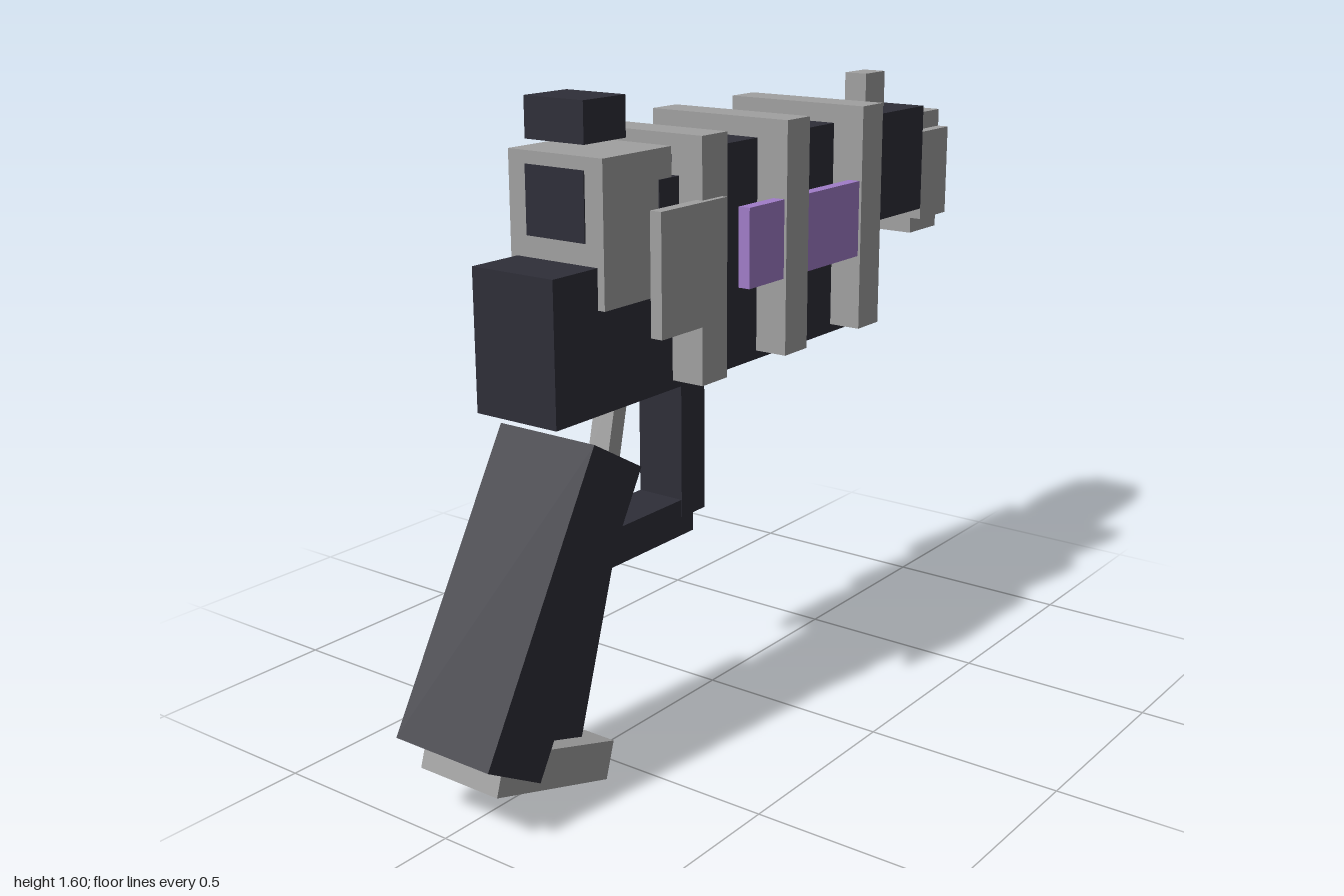
import * as THREE from 'three';

const mat = (name, color) => {
  const m = new THREE.MeshStandardMaterial({ color });
  m.name = name;
  return m;
};

export function createModel() {
  const group = new THREE.Group();
  const dark = mat('dark metal', 0x2e2e38);
  const grey = mat('light metal', 0xa0a0a0);
  const purple = mat('purple cell', 0xa07cc8);

  // box from x and y ranges, with a z range
  const box = (name, material, x0, x1, y0, y1, z0, z1) => {
    const mesh = new THREE.Mesh(new THREE.BoxGeometry(x1 - x0, y1 - y0, z1 - z0), material);
    mesh.position.set((x0 + x1) / 2, (y0 + y1) / 2, (z0 + z1) / 2);
    mesh.name = name;
    group.add(mesh);
    return mesh;
  };
  // box centred on z = 0
  const mid = (name, material, x0, x1, y0, y1, hz) => box(name, material, x0, x1, y0, y1, -hz, hz);
  // box leaning in the side plane
  const lean = (name, material, cx, cy, w, h, hz, degrees) => {
    const mesh = mid(name, material, cx - w / 2, cx + w / 2, cy - h / 2, cy + h / 2, hz);
    mesh.rotation.z = THREE.MathUtils.degToRad(degrees);
  };

  // receiver and barrel
  mid('lowerBody', dark, -0.727, 0.58, 0.905, 1.24, 0.117);
  mid('upperBody', dark, -0.4, 0.825, 1.17, 1.457, 0.117);
  mid('bodyInsert', dark, -0.387, -0.195, 1.22, 1.41, 0.138);

  // muzzle
  mid('muzzleWide', grey, 0.825, 0.967, 1.14, 1.385, 0.117);
  mid('muzzleTall', grey, 0.827, 0.969, 1.097, 1.432, 0.085);
  mid('muzzleTip', dark, 0.96, 1.0, 1.192, 1.337, 0.05);

  // bands round the body
  for (const x of [-0.267, 0.073, 0.414]) {
    mid('band', grey, x - 0.048, x + 0.048, 0.927, 1.505, 0.204);
  }

  // plates standing off both sides
  for (const s of [-1, 1]) {
    const side = (name, m, x0, x1, y0, y1, a, b) =>
      box(name, m, x0, x1, y0, y1, Math.min(s * a, s * b), Math.max(s * a, s * b));
    side('energyCell', purple, -0.12, 0.38, 1.12, 1.315, 0.165, 0.197);
    side('sidePlate', grey, -0.483, -0.24, 1.073, 1.36, 0.187, 0.218);
  }

  // rear block and sights
  mid('rearBlock', grey, -0.58, -0.34, 1.145, 1.48, 0.136);
  mid('rearPanel', dark, -0.583, -0.577, 1.29, 1.45, 0.085);
  mid('rearSight', dark, -0.58, -0.437, 1.505, 1.6, 0.085);
  mid('frontSight', grey, 0.655, 0.752, 1.45, 1.553, 0.033);

  // trigger and guard
  lean('trigger', grey, -0.41, 0.84, 0.045, 0.21, 0.03, -13);
  mid('guardFront', dark, -0.215, -0.122, 0.545, 0.91, 0.065);
  mid('guardBottom', dark, -0.56, -0.168, 0.498, 0.59, 0.064);

  // grip
  lean('gripBack', dark, -0.7325, 0.484, 0.19, 0.744, 0.14, -30);
  lean('gripFront', dark, -0.628, 0.451, 0.19, 0.62, 0.085, -17.4);
  lean('gripBase', grey, -0.7525, 0.108, 0.389, 0.094, 0.117, -17.4);

  return group;
}
